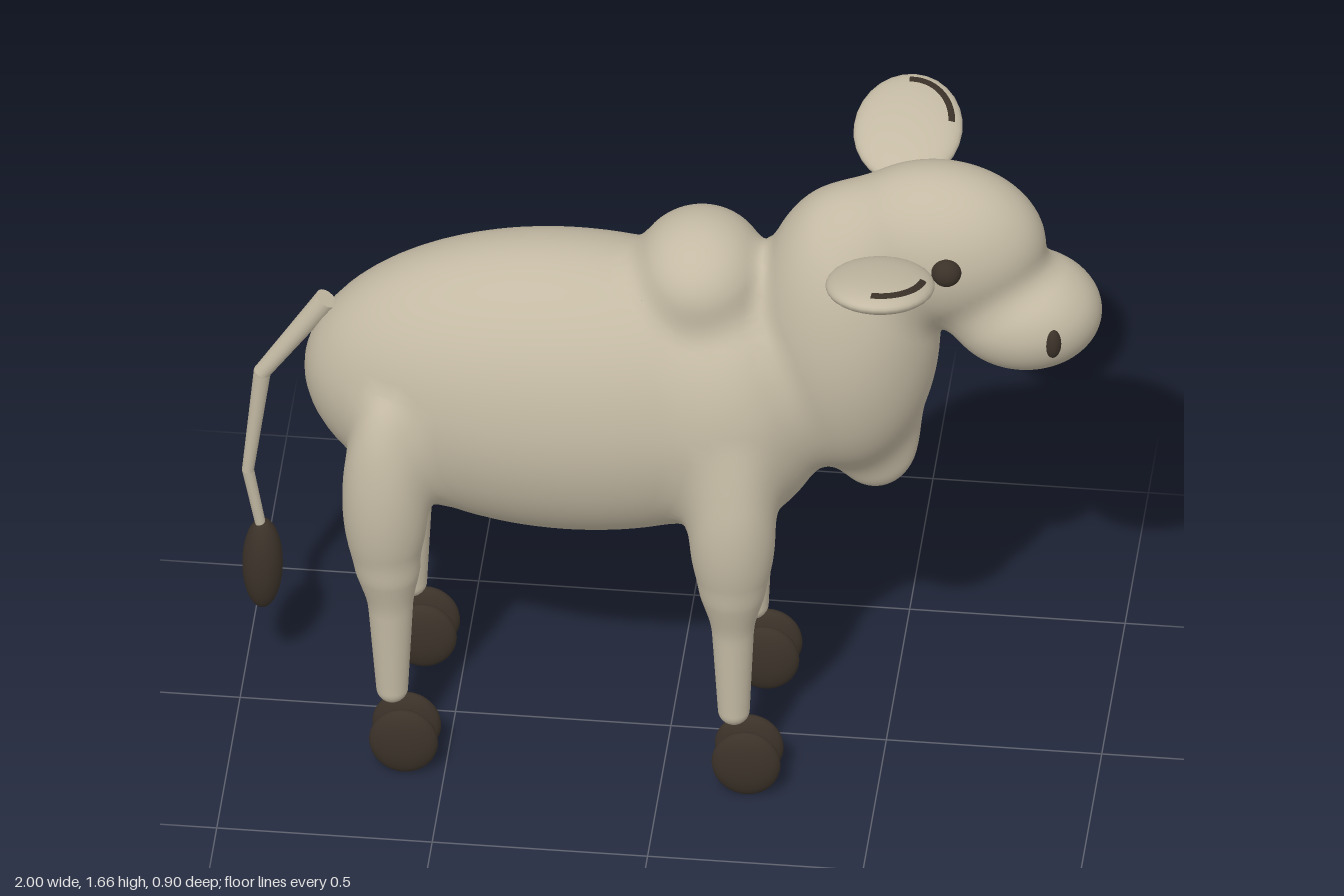
import * as THREE from 'three';

const hide = new THREE.MeshStandardMaterial({ color: 0xc4baa4 });
hide.name = 'paleHide';
const dark = new THREE.MeshStandardMaterial({ color: 0x3b3229 });
dark.name = 'darkHorn';

// Fleshy masses: name, centre, radii
const masses = [
  ['body', [-0.23, 0.99, 0], [0.62, 0.38, 0.288]],
  ['shoulders', [0.14, 0.99, 0], [0.235, 0.345, 0.258]],
  ['hump', [0.07, 1.33, 0], [0.155, 0.14, 0.17]],
  ['neck', [0.41, 1.2, 0], [0.215, 0.38, 0.212]],
  ['dewlap', [0.47, 0.89, 0], [0.105, 0.15, 0.055]],
  ['head', [0.62, 1.46, 0], [0.25, 0.2, 0.163]],
  ['muzzle', [0.82, 1.28, 0], [0.18, 0.138, 0.153]],
];
// Lower legs: name, top, bottom, top radius, bottom radius
const shanks = [];
for (const s of [1, -1]) {
  const side = s > 0 ? 'Left' : 'Right';
  masses.push(['frontThigh' + side, [0.165, 0.74, s * 0.208], [0.1, 0.25, 0.093]]);
  masses.push(['hindThigh' + side, [-0.64, 0.77, s * 0.208], [0.1, 0.27, 0.093]]);
  shanks.push(['frontShank' + side, [0.165, 0.55, s * 0.205], [0.168, 0.216, s * 0.203], 0.054, 0.037]);
  shanks.push(['hindShank' + side, [-0.63, 0.55, s * 0.205], [-0.625, 0.216, s * 0.203], 0.058, 0.037]);
}

// Approximate distance to an ellipsoid
function ellipsoidDistance(p, c, r) {
  const x = (p.x - c[0]) / r[0], y = (p.y - c[1]) / r[1], z = (p.z - c[2]) / r[2];
  const a = Math.hypot(x, y, z), b = Math.hypot(x / r[0], y / r[1], z / r[2]);
  return b < 1e-6 ? -Math.min(...r) : a * (a - 1) / b;
}

// Distance to a tapered capsule
function shankDistance(p, a, b, ra, rb) {
  const d = [b[0] - a[0], b[1] - a[1], b[2] - a[2]];
  const q = [p.x - a[0], p.y - a[1], p.z - a[2]];
  const dot = q[0] * d[0] + q[1] * d[1] + q[2] * d[2];
  const t = THREE.MathUtils.clamp(dot / (d[0] ** 2 + d[1] ** 2 + d[2] ** 2), 0, 1);
  return Math.hypot(q[0] - t * d[0], q[1] - t * d[1], q[2] - t * d[2]) - (ra + (rb - ra) * t);
}

// Smoothly blended union of all the masses
const BLEND = 0.055;
function field(p) {
  let f = 10;
  const join = (d) => {
    const h = Math.max(BLEND - Math.abs(f - d), 0) / BLEND;
    f = Math.min(f, d) - h * h * BLEND / 4;
  };
  for (const [, c, r] of masses) join(ellipsoidDistance(p, c, r));
  for (const [, a, b, ra, rb] of shanks) join(shankDistance(p, a, b, ra, rb));
  return f;
}

function gradient(p, out) {
  const e = 0.002, q = p.clone();
  for (const k of ['x', 'y', 'z']) {
    q[k] = p[k] + e;
    const hi = field(q);
    q[k] = p[k] - e;
    out[k] = (hi - field(q)) / (2 * e);
    q[k] = p[k];
  }
  return out;
}

// Draw the vertices of a part onto the blended skin, so that joints flow together
function blendToSkin(geometry) {
  const pos = geometry.attributes.position, nor = geometry.attributes.normal;
  const p = new THREE.Vector3(), g = new THREE.Vector3();
  for (let i = 0; i < pos.count; i++) {
    p.fromBufferAttribute(pos, i);
    if (field(p) < -0.055) continue; // buried inside a neighbour
    for (let n = 0; n < 5; n++) {
      const f = field(p);
      if (Math.abs(f) < 0.0003) break;
      gradient(p, g);
      p.addScaledVector(g, -THREE.MathUtils.clamp(f, -0.03, 0.03) / Math.max(g.lengthSq(), 0.2));
    }
    pos.setXYZ(i, p.x, p.y, p.z);
    gradient(p, g).normalize();
    nor.setXYZ(i, g.x, g.y, g.z);
  }
  return geometry;
}

function addMesh(group, name, geometry, material) {
  const mesh = new THREE.Mesh(geometry, material);
  mesh.name = name;
  group.add(mesh);
  return mesh;
}

function ellipsoid(group, name, c, r, material) {
  const geometry = new THREE.SphereGeometry(1, 28, 20).scale(...r);
  const mesh = addMesh(group, name, geometry, material);
  mesh.position.set(...c);
  return mesh;
}

// Round rod between two points
function rod(group, name, a, b, ra, rb) {
  const from = new THREE.Vector3(...a), to = new THREE.Vector3(...b);
  const dir = to.clone().sub(from);
  const mesh = addMesh(group, name, new THREE.CylinderGeometry(rb, ra, dir.length(), 16), hide);
  mesh.position.copy(from).add(to).multiplyScalar(0.5);
  mesh.quaternion.setFromUnitVectors(new THREE.Vector3(0, 1, 0), dir.normalize());
}

export function createModel() {
  const model = new THREE.Group();
  model.name = 'humpedCow';

  // Body, head and upper legs
  masses.forEach(([name, c, r], i) => {
    const [w, h] = i < 7 ? [64, 44] : [40, 36];
    const geometry = new THREE.SphereGeometry(1, w, h).scale(...r).translate(...c);
    addMesh(model, name, blendToSkin(geometry), hide);
  });

  // Lower legs
  for (const [name, a, b, ra, rb] of shanks) {
    const geometry = new THREE.CapsuleGeometry((ra + rb) / 2, a[1] - b[1], 8, 28, 16);
    geometry.translate((a[0] + b[0]) / 2, (a[1] + b[1]) / 2, (a[2] + b[2]) / 2);
    addMesh(model, name, blendToSkin(geometry), hide);
  }

  for (const s of [1, -1]) {
    const side = s > 0 ? 'Left' : 'Right';

    // Cloven hooves
    for (const [leg, x] of [['front', 0.2], ['hind', -0.595]]) {
      for (const z of [0.168, 0.236]) {
        ellipsoid(model, leg + 'Hoof' + side, [x, 0.087, s * z], [0.08, 0.087, 0.031], dark);
      }
    }

    // Eyes and nostrils
    ellipsoid(model, 'eye' + side, [0.656, 1.487, s * 0.155], [0.035, 0.035, 0.033], dark);
    ellipsoid(model, 'nostril' + side, [0.9, 1.28, s * 0.126], [0.02, 0.04, 0.022], dark);

    // Ears with a dark crescent on the upper face
    const ear = new THREE.Group();
    ear.name = 'ear' + side;
    ear.position.set(0.518, 1.547, s * 0.3);
    ear.rotation.x = -0.27 * s;
    ellipsoid(ear, 'earFlap' + side, [0, 0, 0], [0.126, 0.038, 0.157], hide);
    const deg = Math.PI / 180;
    const crescent = new THREE.SphereGeometry(1, 16, 4, (s > 0 ? 85 : 185) * deg, 90 * deg, 0.82, 0.2);
    addMesh(ear, 'earCrescent' + side, crescent.scale(0.128, 0.04, 0.159), dark);
    model.add(ear);
  }

  // Tail in three joints with a tuft
  const joints = [[-0.8, 1.17, -0.005], [-0.95, 0.94, -0.014], [-0.985, 0.64, -0.03], [-0.955, 0.46, -0.046]];
  const radii = [0.027, 0.02, 0.014, 0.012];
  for (let i = 0; i < 3; i++) {
    rod(model, 'tailJoint' + (i + 1), joints[i], joints[i + 1], radii[i], radii[i + 1]);
    if (i) ellipsoid(model, 'tailKnuckle' + i, joints[i], Array(3).fill(radii[i]), hide);
  }
  ellipsoid(model, 'tailTuft', [-0.953, 0.36, -0.048], [0.047, 0.125, 0.05], dark);

  return model;
}
